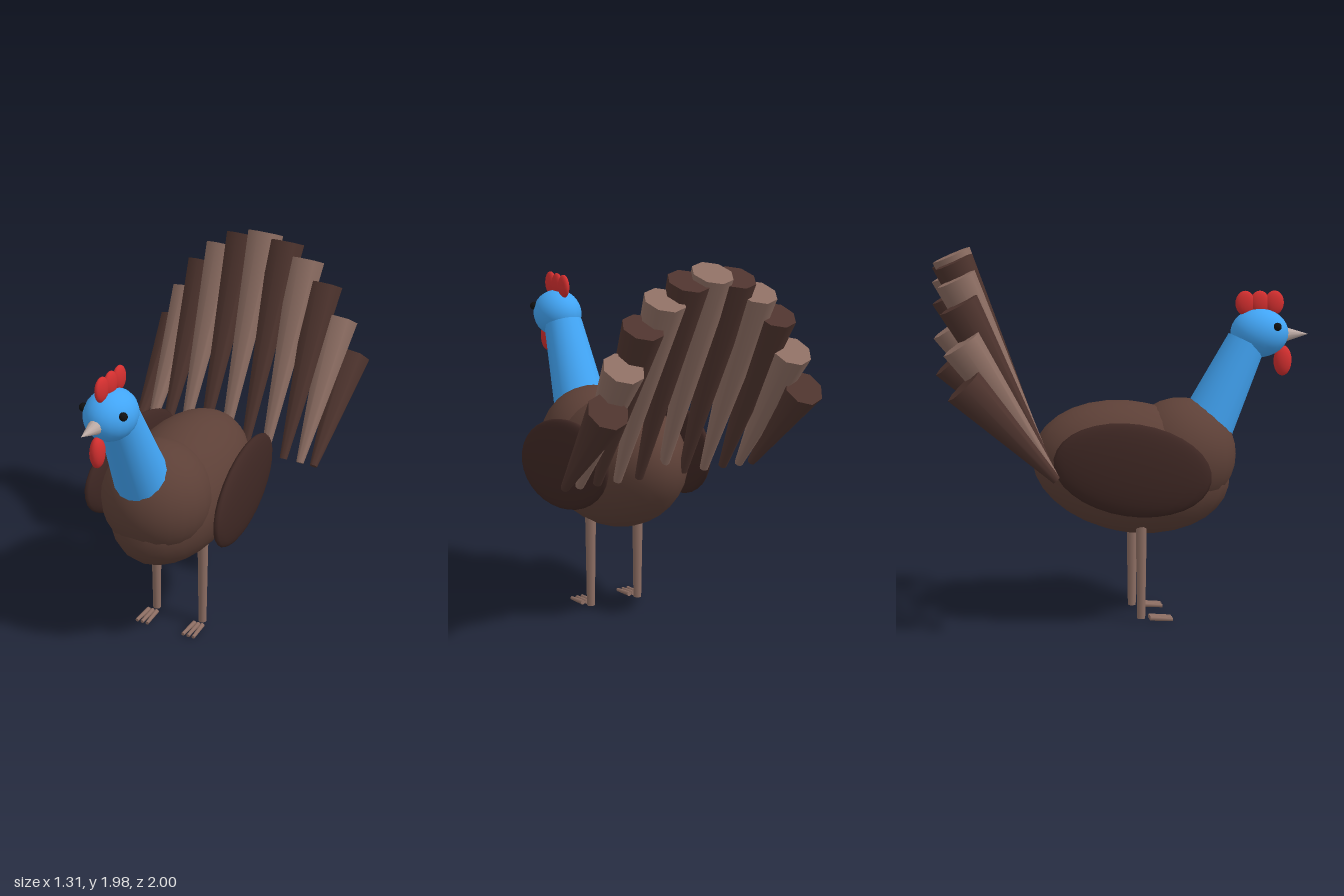
import * as THREE from 'three';

const colors = {
  body: 0x5d4037, wing: 0x3e2723, dark: 0x4e342e, light: 0x8d6e63,
  blue: 0x42a5f5, red: 0xd32f2f, beak: 0xbcaaa4, eye: 0x111111,
};
const materials = {};
for (const key in colors) materials[key] = new THREE.MeshStandardMaterial({ color: colors[key] });

export function createModel() {
  const model = new THREE.Group();
  model.name = 'turkey';

  function add(name, geometry, material, position) {
    const mesh = new THREE.Mesh(geometry, materials[material]);
    mesh.name = name;
    mesh.position.set(...position);
    model.add(mesh);
    return mesh;
  }

  function ellipsoid(name, material, position, radii, w = 16, h = 12) {
    const mesh = add(name, new THREE.SphereGeometry(1, w, h), material, position);
    mesh.scale.set(...radii);
    return mesh;
  }

  // Tapered rod running from point a to point b
  function rod(name, material, a, b, ra, rb, sides) {
    const start = new THREE.Vector3(...a), end = new THREE.Vector3(...b);
    const axis = end.clone().sub(start);
    const geometry = new THREE.CylinderGeometry(rb, ra, axis.length(), sides);
    const mesh = add(name, geometry, material, start.add(end).multiplyScalar(0.5).toArray());
    mesh.quaternion.setFromUnitVectors(new THREE.Vector3(0, 1, 0), axis.normalize());
    return mesh;
  }

  // Body and chest
  ellipsoid('body', 'body', [0, 0.815, 0.04], [0.31, 0.35, 0.54], 24, 16).rotation.x = 0.2;
  ellipsoid('chest', 'body', [0, 0.88, 0.3], [0.29, 0.3, 0.3], 24, 16);

  // Neck and head
  rod('neck', 'blue', [0, 0.98, 0.42], [0, 1.475, 0.66], 0.153, 0.106, 16);
  ellipsoid('head', 'blue', [0, 1.52, 0.73], [0.13, 0.13, 0.157], 20, 16);
  rod('beak', 'beak', [0, 1.51, 0.86], [0, 1.51, 1], 0.043, 0, 12);
  ellipsoid('wattle', 'red', [0, 1.37, 0.86], [0.035, 0.082, 0.05]);
  for (const z of [0.65, 0.73, 0.81]) {
    ellipsoid('comb', 'red', [0, 1.68, z], [0.024, 0.065, 0.053]);
  }

  for (const side of [-1, 1]) {
    const label = side > 0 ? 'left' : 'right';
    ellipsoid(label + 'Eye', 'eye', [side * 0.112, 1.56, 0.8], [0.022, 0.022, 0.022]);

    // Wing, tail end raised and turned inward
    const wing = ellipsoid(label + 'Wing', 'wing', [side * 0.345, 0.855, -0.015], [0.055, 0.24, 0.41], 24, 16);
    wing.rotation.order = 'YXZ';
    wing.rotation.set(0.16, side * 0.11, 0);

    // Leg and three toes
    const x = side * 0.145;
    rod(label + 'Leg', 'light', [x, 0.02, 0.065], [x, 0.55, 0.065], 0.022, 0.03, 10);
    for (const spread of [-1, 0, 1]) {
      rod(label + 'Toe', 'light', [x + spread * 0.025, 0.024, 0.11],
        [x + spread * 0.032, 0.014, 0.23], 0.013, 0.01, 8);
    }
  }

  // Tail fan: feathers get shorter and lean back more toward the sides
  const tipHeights = [1.945, 1.915, 1.835, 1.715, 1.53, 1.333];
  for (let i = -5; i <= 5; i++) {
    const n = Math.abs(i);
    const x = 0.655 * Math.sin(i * 0.2);
    rod('tailFeather', n % 2 ? 'dark' : 'light', [x, 0.855, -0.435],
      [x, tipHeights[n], -0.903 + 0.003 * n], 0.022, 0.104, 8);
  }

  return model;
}
